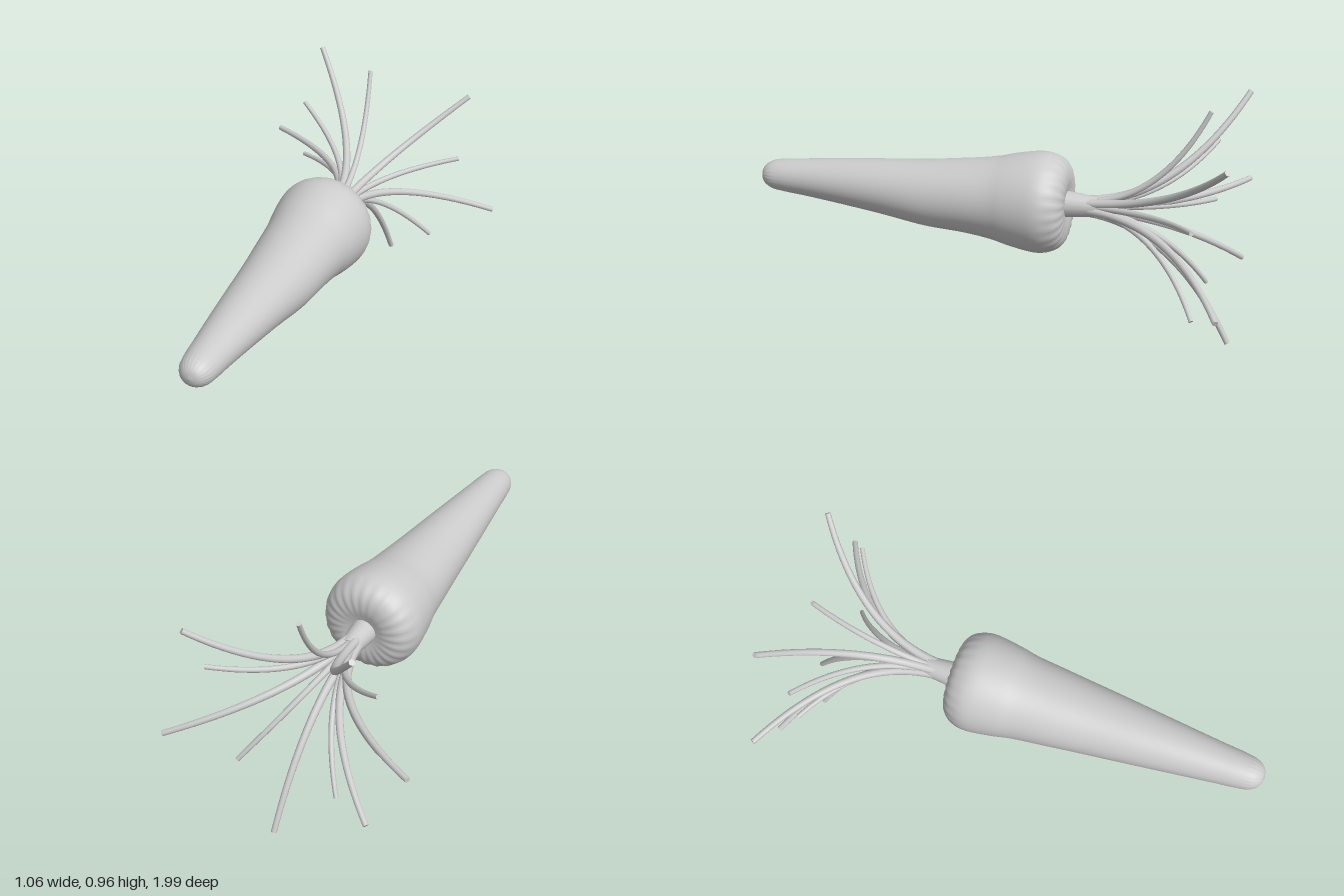
import * as THREE from 'three';
import { mergeVertices } from 'three/addons/utils/BufferGeometryUtils.js';

const CX = 0.017, CY = 0.524;
const material = new THREE.MeshStandardMaterial({ color: 0xcccccc });

function addMesh(parent, geometry, name) {
  const mesh = new THREE.Mesh(geometry, material);
  mesh.name = name;
  parent.add(mesh);
  return mesh;
}

// Weld the seam so the shading runs smoothly all the way round
function weld(geometry) {
  geometry.deleteAttribute('uv');
  geometry.deleteAttribute('normal');
  const welded = mergeVertices(geometry, 1e-5);
  welded.computeVertexNormals();
  return welded;
}

// Tapering root: radius and z pairs, from the crown to the tip
function rootGeometry() {
  const profile = [
    [0, -0.31], [0.05, -0.316], [0.1, -0.324], [0.145, -0.317], [0.178, -0.294],
    [0.199, -0.255], [0.206, -0.215], [0.202, -0.165], [0.189, -0.09], [0.17, 0],
    [0.146, 0.2], [0.125, 0.4], [0.103, 0.6], [0.081, 0.8], [0.072, 0.89],
    [0.061, 0.95], [0.036, 0.985], [0, 0.996],
  ].map(([r, z]) => new THREE.Vector2(r, z));
  const points = new THREE.SplineCurve(profile).getPoints(85);
  points.forEach((p) => { p.x = Math.max(p.x, 0); });
  const geometry = new THREE.LatheGeometry(points, 96);
  geometry.rotateX(Math.PI / 2);

  const pos = geometry.attributes.position;
  const { smoothstep } = THREE.MathUtils;
  for (let i = 0; i < pos.count; i++) {
    const x = pos.getX(i), y = pos.getY(i), z = pos.getZ(i);
    const r = Math.hypot(x, y), angle = Math.atan2(y, x);
    // Shallow flutes across the shoulder and around the tip
    const wave = Math.cos(24 * angle);
    const shoulder = (1 - smoothstep(z, -0.3, -0.2)) * smoothstep(r, 0.06, 0.15);
    const tip = smoothstep(z, 0.9, 0.97) * smoothstep(r, 0, 0.05);
    // Faint swelling low on the left side
    const swell = 0.05 * Math.exp(-(((z - 0.26) / 0.12) ** 2))
      * Math.max(0, Math.cos(angle + 1)) ** 2;
    const scale = 1 + swell + wave * (0.004 * shoulder + 0.01 * tip);
    // Slightly wider than tall along the slim part, with a gentle bend
    const squash = 0.045 * smoothstep(z, -0.2, 0.15);
    const bend = 0.009 * Math.sin((z - 0.35) * 3) * smoothstep(z, 0.1, 0.5);
    pos.setXYZ(i, x * scale * (1 + squash) - 0.5 * bend, y * scale * (1 - squash) + bend,
      z - 0.002 * shoulder * wave);
  }
  return weld(geometry);
}

// Tube whose rings shrink from radius r0 to r1
function stalkGeometry(curve, r0, r1) {
  const rings = 28, sides = 10;
  const geometry = new THREE.TubeGeometry(curve, rings, 1, sides, false);
  const pos = geometry.attributes.position;
  const v = new THREE.Vector3();
  for (let i = 0; i <= rings; i++) {
    const t = i / rings, centre = curve.getPointAt(t);
    for (let j = 0; j <= sides; j++) {
      const k = i * (sides + 1) + j;
      v.fromBufferAttribute(pos, k).sub(centre).multiplyScalar(r0 + (r1 - r0) * t).add(centre);
      pos.setXYZ(k, v.x, v.y, v.z);
    }
  }
  return geometry;
}

export function createModel() {
  const group = new THREE.Group();
  group.name = 'carrot';

  addMesh(group, rootGeometry(), 'root').position.set(CX, CY, 0);

  // Short tapered neck gathering the stalks
  const neck = new THREE.CylinderGeometry(0.055, 0.04, 0.14, 16);
  neck.rotateX(Math.PI / 2);
  addMesh(group, neck, 'neck').position.set(CX - 0.004, CY, -0.37);

  // Stalk tips (x, y) going round: long and short ones alternate
  const tips = [
    [-0.317, 0.953], [-0.038, 0.941], [0.381, 0.845], [0.386, 0.598],
    [0.523, 0.31], [0.27, 0.188], [0.044, 0.006], [-0.165, 0.171],
    [-0.358, 0.217], [-0.352, 0.468], [-0.527, 0.511], [-0.35, 0.729],
  ];
  const stalks = new THREE.Group();
  stalks.name = 'stalks';
  group.add(stalks);
  tips.forEach(([x, y], i) => {
    const long = i % 2 === 0;
    const angle = Math.atan2(y - CY, x - CX);
    const at = (r, z) => new THREE.Vector3(
      CX - 0.004 + r * Math.cos(angle), CY + r * Math.sin(angle), z);
    const base = long ? 0.024 : 0.016;
    const curve = new THREE.QuadraticBezierCurve3(
      at(base, -0.38), at(base + 0.02, long ? -0.75 : -0.69),
      new THREE.Vector3(x, y, long ? -0.988 : -0.868));
    const tipRadius = long ? 0.0115 : 0.0095;
    addMesh(stalks, stalkGeometry(curve, long ? 0.019 : 0.015, tipRadius), 'stalk');
    const cap = addMesh(stalks, new THREE.CircleGeometry(tipRadius, 10), 'stalkTip');
    cap.position.copy(curve.getPointAt(1));
    cap.quaternion.setFromUnitVectors(new THREE.Vector3(0, 0, 1), curve.getTangentAt(1));
  });

  return group;
}
